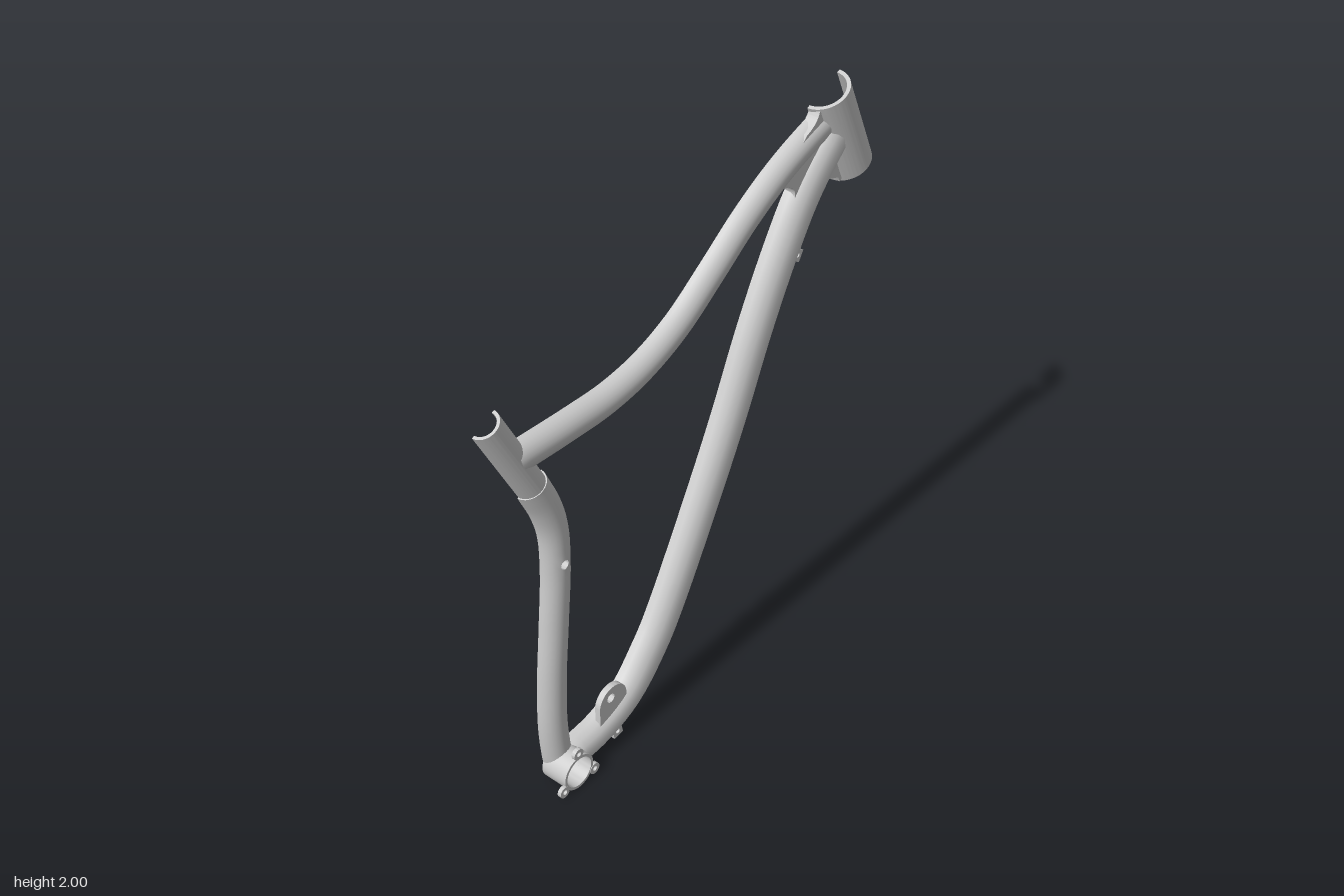
import * as THREE from 'three';
import { toCreasedNormals } from 'three/addons/utils/BufferGeometryUtils.js';

const CUT = -0.052; // flat plane on which the half frame is sectioned
const V = (x, y, z = CUT) => new THREE.Vector3(x, y, z);
const Z = new THREE.Vector3(0, 0, 1);
const mat = new THREE.MeshStandardMaterial({ color: 0xcccccc, side: THREE.DoubleSide });

// Cylinders that the frame tubes are mitred against
const axis = (a, b, r) => ({ a, u: b.clone().sub(a).normalize(), r });
const HEAD = [V(0.671, 1.965), V(0.806, 1.66)];
const SEAT = [V(-0.847, 1.525), V(-0.659, 1.17)];
const BB = V(-0.638, 0.066);
const headCyl = axis(...HEAD, 0.081);
const seatCyl = axis(...SEAT, 0.046);
const bbCyl = { a: BB, u: Z, r: 0.061 };

// Moves p along d until it lies on the cylinder, if it starts inside or behind it
function mitre(p, d, { a, u, r }) {
  const q = p.clone().sub(a).projectOnPlane(u);
  const e = d.clone().projectOnPlane(u);
  const A = e.lengthSq(), B = q.dot(e);
  const disc = B * B - A * (q.lengthSq() - r * r);
  const t = (-B + Math.sqrt(Math.max(0, disc))) / A;
  if (t > 0) p.addScaledVector(d, t);
}

function add(group, name, geo, crease = 0.48) {
  const mesh = new THREE.Mesh(toCreasedNormals(geo, crease), mat);
  mesh.name = name;
  group.add(mesh);
  return mesh;
}

// Sweeps a flat-backed section [across, depth] along a path; hole = path fraction of a drilled hole
function sweep(path, section, { steps = 48, scale = () => 1, start, end, hole, holeR = 0.017 }) {
  const curve = new THREE.CatmullRomCurve3(path);
  const ring = section.map(s => s.slice());
  const n0 = section[0][0], n1 = section[section.length - 1][0], back = 8;
  for (let k = 1; k < back; k++) ring.push([n1 + (n0 - n1) * k / back, 0]);
  const m = ring.length, mids = [(section.length - 1) / 2, section.length - 1 + back / 2];
  const ih = hole ? Math.round(hole * steps) : -9;
  const pos = [], idx = [];
  for (let i = 0; i <= steps; i++) {
    const t = i / steps, c = curve.getPointAt(t), T = curve.getTangentAt(t);
    const N = V(-T.y, T.x, 0);
    ring.forEach(([a, z], j) => {
      const p = c.clone().addScaledVector(N, a * scale(t)).addScaledVector(Z, z);
      const di = i - ih;
      mids.forEach((mid, side) => {
        const dj = (j - mid) * (side ? 1 : -1), len = Math.hypot(di, dj);
        if (Math.abs(di) <= 1 && Math.abs(dj) <= 1 && len > 0) {
          const h = curve.getPointAt(ih / steps), Th = curve.getTangentAt(ih / steps);
          h.addScaledVector(Th, holeR * di / len).addScaledVector(V(-Th.y, Th.x, 0), holeR * dj / len);
          p.set(h.x, h.y, p.z);
        }
      });
      if (start) mitre(p, T, start);
      if (end) mitre(p, T.clone().negate(), end);
      pos.push(p.x, p.y, p.z);
    });
  }
  for (let i = 0; i < steps; i++) for (let j = 0; j < m; j++) {
    const open = (i === ih || i === ih - 1) && mids.some(k => j === k || j === k - 1);
    if (open) continue;
    const a = i * m + j, b = i * m + (j + 1) % m;
    idx.push(a, b, a + m, b, b + m, a + m);
  }
  if (!start) for (let j = 1; j < m - 1; j++) idx.push(0, j + 1, j);
  const g = new THREE.BufferGeometry();
  g.setAttribute('position', new THREE.Float32BufferAttribute(pos, 3));
  g.setIndex(idx);
  g.userData.holeCentre = hole ? curve.getPointAt(ih / steps) : null;
  return g;
}

const halfRound = (a, b, n = 12) => Array.from({ length: n + 1 }, (_, i) =>
  [a * Math.cos(Math.PI * i / n), b * Math.sin(Math.PI * i / n)]);

// Open half pipe between two points
function halfPipe([from, to], R, r) {
  const s = new THREE.Shape();
  s.absarc(0, 0, R, 0, Math.PI, false);
  s.absarc(0, 0, r, Math.PI, 0, true);
  const T = to.clone().sub(from), L = T.length();
  T.normalize();
  const g = new THREE.ExtrudeGeometry(s, { depth: L, bevelEnabled: false, curveSegments: 32 });
  const basis = new THREE.Matrix4().makeBasis(V(-T.y, T.x, 0), Z, T).setPosition(from);
  return g.applyMatrix4(basis);
}

// Flat plate from z0 to z1, with optional round hole
function plate(shape, z0, z1, hole) {
  if (hole) shape.holes.push(new THREE.Path().absarc(hole[0], hole[1], hole[2], 0, Math.PI * 2, true));
  return new THREE.ExtrudeGeometry(shape, { depth: z1 - z0, bevelEnabled: false, curveSegments: 20 })
    .translate(0, 0, z0);
}
const disc = (x, y, r) => new THREE.Shape().absarc(x, y, r, 0, Math.PI * 2, false);

export function createModel() {
  const g = new THREE.Group();
  g.name = 'halfBicycleFrame';

  add(g, 'headTube', halfPipe(HEAD, 0.087, 0.074));
  add(g, 'upperSeatTube', halfPipe(SEAT, 0.051, 0.041));

  // Lower seat tube with a drilled hole
  const seatPath = [V(-0.685, 1.22), V(-0.638, 1.117), V(-0.611, 1.016), V(-0.608, 0.867),
    V(-0.627, 0.655), V(-0.648, 0.443), V(-0.656, 0.257), V(-0.648, 0.135), BB];
  const seatGeo = sweep(seatPath, halfRound(0.056, 0.054), { end: bbCyl, hole: 0.3 });
  const h = seatGeo.userData.holeCentre;
  add(g, 'lowerSeatTube', seatGeo);
  const liner = new THREE.CylinderGeometry(0.017, 0.017, 0.052, 16, 1, true).rotateX(Math.PI / 2);
  add(g, 'seatTubeHole', liner.translate(h.x, h.y, CUT + 0.026));

  const topPath = [V(-0.76, 1.353), V(-0.521, 1.35), V(-0.362, 1.355), V(-0.204, 1.387), V(-0.045, 1.456),
    V(0.114, 1.565), V(0.272, 1.68), V(0.431, 1.772), V(0.59, 1.838), V(0.706, 1.875)];
  add(g, 'topTube', sweep(topPath, halfRound(0.057, 0.055), { start: seatCyl, end: headCyl }));

  // Down tube: rounded above, chamfered along the lower edge
  const downSection = [[0.075, 0], [0.073, 0.025], [0.062, 0.048], [0.04, 0.066], [0.01, 0.075],
    [-0.025, 0.072], [-0.072, 0.04], [-0.075, 0]];
  const downPath = [BB, V(-0.468, 0.082), V(-0.325, 0.141), V(-0.19, 0.278), V(-0.114, 0.39),
    V(0.103, 0.788), V(0.209, 1.0), V(0.33, 1.265), V(0.458, 1.504), V(0.563, 1.663), V(0.725, 1.83)];
  add(g, 'downTube', sweep(downPath, downSection, {
    steps: 64, start: bbCyl, end: headCyl, scale: t => Math.min(1, 0.78 + t * 1.1),
  }));

  // Web filling the corner between top, down and head tubes
  const web = new THREE.Shape();
  web.moveTo(0.41, 1.735);
  web.quadraticCurveTo(0.495, 1.725, 0.489, 1.675);
  web.lineTo(0.475, 1.625);
  web.lineTo(0.563, 1.578);
  web.lineTo(0.625, 1.66);
  web.quadraticCurveTo(0.69, 1.71, 0.722, 1.632);
  web.lineTo(0.8, 1.672);
  web.lineTo(0.676, 1.955);
  web.lineTo(0.6, 1.925);
  web.quadraticCurveTo(0.59, 1.89, 0.54, 1.87);
  const webGeo = plate(web, CUT, -0.01);
  const away = V(-headCyl.u.y, headCyl.u.x, 0).multiplyScalar(-1);
  const wp = webGeo.attributes.position, p = V(0, 0);
  for (let i = 0; i < wp.count; i++) {
    p.fromBufferAttribute(wp, i);
    mitre(p, away, headCyl);
    wp.setXYZ(i, p.x, p.y, p.z);
  }
  add(g, 'headGusset', webGeo);

  // Bottom bracket shell with three drilled mounting ears
  add(g, 'bottomBracketShell', plate(disc(BB.x, BB.y, 0.066), CUT, 0.05, [BB.x, BB.y, 0.056]));
  for (const deg of [90, 208, 332]) {
    const a = deg * Math.PI / 180, x = BB.x + 0.08 * Math.cos(a), y = BB.y + 0.08 * Math.sin(a);
    add(g, 'mountingEar', plate(disc(x, y, 0.021), 0.038, 0.052, [x, y, 0.009]));
  }

  // Pivot lug on the down tube
  const lug = new THREE.Shape();
  lug.moveTo(-0.484, 0.12);
  lug.lineTo(-0.484, 0.192);
  lug.absarc(-0.42, 0.192, 0.064, Math.PI, 0, true);
  lug.lineTo(-0.356, 0.12);
  add(g, 'pivotLug', plate(lug, -0.018, 0.004, [-0.431, 0.214, 0.017]));

  // Square cable guides under the down tube
  for (const [x, y, turn] of [[0.505, 1.46, 1.05], [-0.394, 0.032, 0.2]]) {
    const s = 0.021, sq = new THREE.Shape([[-s, -s], [s, -s], [s, s], [-s, s]].map(c => new THREE.Vector2(...c)));
    const guide = add(g, 'cableGuide', plate(sq, -0.018, 0.018, [0, 0, 0.009]));
    guide.position.set(x, y, -0.022);
    guide.rotation.z = turn;
  }
  return g;
}
